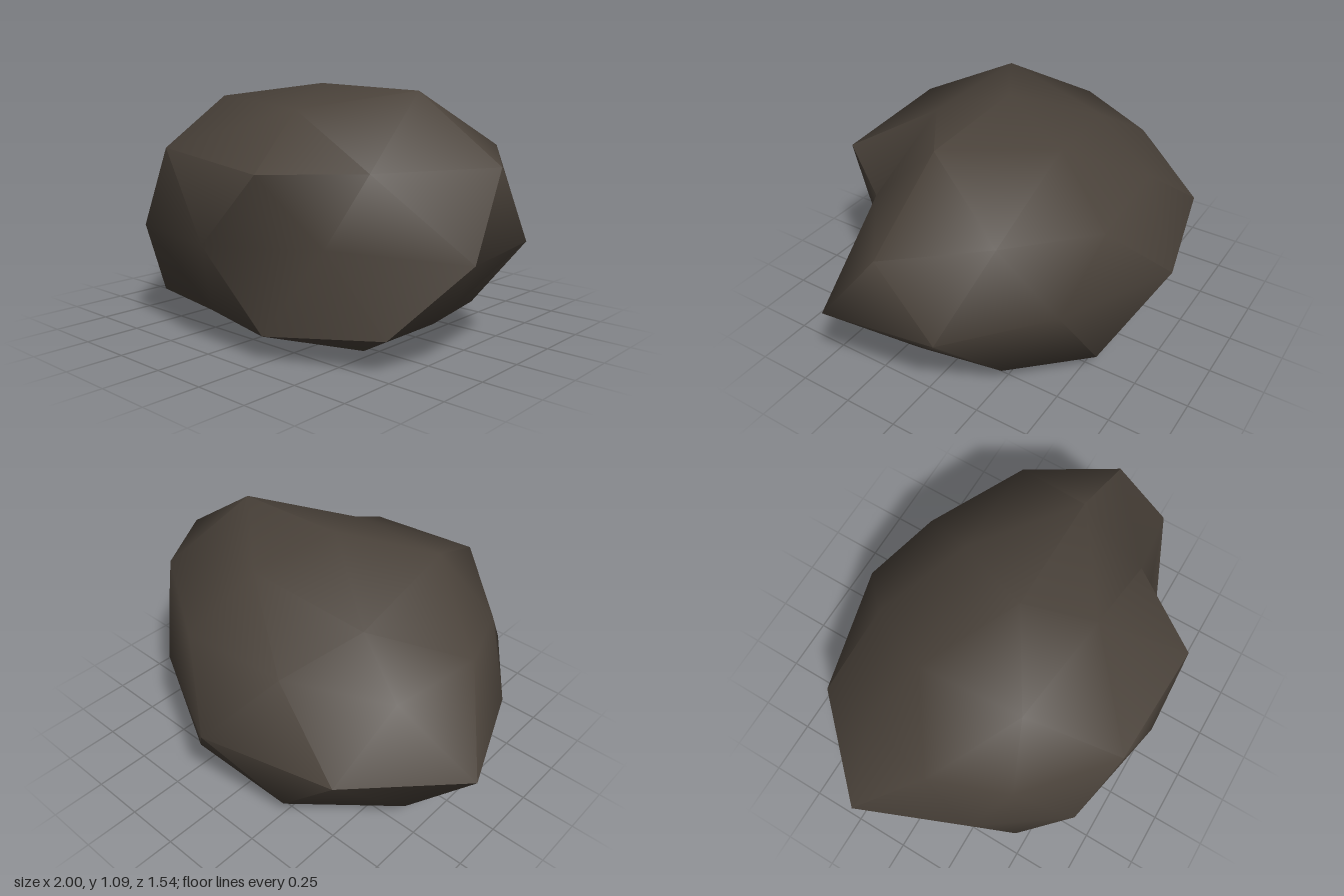
import * as THREE from 'three';
import { mergeVertices, toCreasedNormals } from 'three/addons/utils/BufferGeometryUtils.js';

// Rings of the boulder from top to bottom. Each starts at the given angle
// (degrees) from +x and runs round through +z in even steps.
const rings = [
  { start: 0, points: [[0, 1.09, 0.06]] },
  { start: 0, points: [[0.54, 1.07, 0.06], [0.13, 0.99, 0.36], [-0.39, 1.03, 0.3],
    [-0.39, 0.89, -0.2], [0.145, 0.99, -0.29]] },
  { start: 0, points: [[0.94, 0.79, 0.06], [0.55, 0.76, 0.38], [0.29, 0.77, 0.745],
    [-0.28, 0.83, 0.72], [-0.63, 0.76, 0.4], [-0.76, 0.79, 0.06], [-0.65, 0.72, -0.3],
    [-0.23, 0.75, -0.53], [0.27, 0.75, -0.57], [0.68, 0.83, -0.32]] },
  { start: 18, points: [[1, 0.46, 0.32], [0.42, 0.46, 0.5], [0, 0.46, 0.77],
    [-0.53, 0.46, 0.66], [-0.8, 0.46, 0.28], [-1, 0.46, -0.21], [-0.6, 0.46, -0.62],
    [0, 0.46, -0.77], [0.52, 0.46, -0.51], [0.92, 0.46, -0.18]] },
  { start: 0, points: [[0.72, 0.18, 0.06], [0.72, 0.15, 0.48], [0.24, 0.11, 0.67],
    [-0.21, 0.1, 0.55], [-0.68, 0.09, 0.45], [-0.73, 0.23, 0.06], [-0.68, 0.1, -0.23],
    [-0.27, 0.09, -0.57], [0.28, 0.09, -0.57], [0.6, 0.12, -0.28]] },
  { start: 36, points: [[0.45, 0, 0.29], [-0.14, 0, 0.39], [-0.56, 0, 0.06],
    [-0.2, 0, -0.36], [0.45, 0, -0.2]] },
  { start: 0, points: [[0, 0, 0.06]] },
];

export function createModel() {
  const model = new THREE.Group();
  model.name = 'boulder';

  const stone = new THREE.MeshStandardMaterial({ color: 0x4a423a });
  stone.name = 'dark brown stone';

  // Subdivided icosahedron standing on a corner, with an upper corner towards +x
  let geometry = new THREE.IcosahedronGeometry(1, 1);
  geometry.rotateX(-Math.atan((1 + Math.sqrt(5)) / 2));
  geometry.rotateY(Math.PI / 2);

  // Move every corner onto its place in the rings
  const pos = geometry.attributes.position;
  const v = new THREE.Vector3();
  for (let p = 0; p < pos.count; p++) {
    v.fromBufferAttribute(pos, p).normalize();
    const polar = THREE.MathUtils.radToDeg(Math.acos(THREE.MathUtils.clamp(v.y, -1, 1)));
    const { start, points } = rings[Math.round(polar / 30)];
    const n = points.length;
    const around = THREE.MathUtils.radToDeg(Math.atan2(v.z, v.x)) - start + 720;
    pos.setXYZ(p, ...points[Math.round((around * n) / 360) % n]);
  }

  // Smooth faces with sharp ridges
  geometry.deleteAttribute('uv');
  geometry.deleteAttribute('normal');
  geometry = toCreasedNormals(mergeVertices(geometry), Math.PI / 3);

  const rock = new THREE.Mesh(geometry, stone);
  rock.name = 'rock';
  model.add(rock);
  return model;
}
